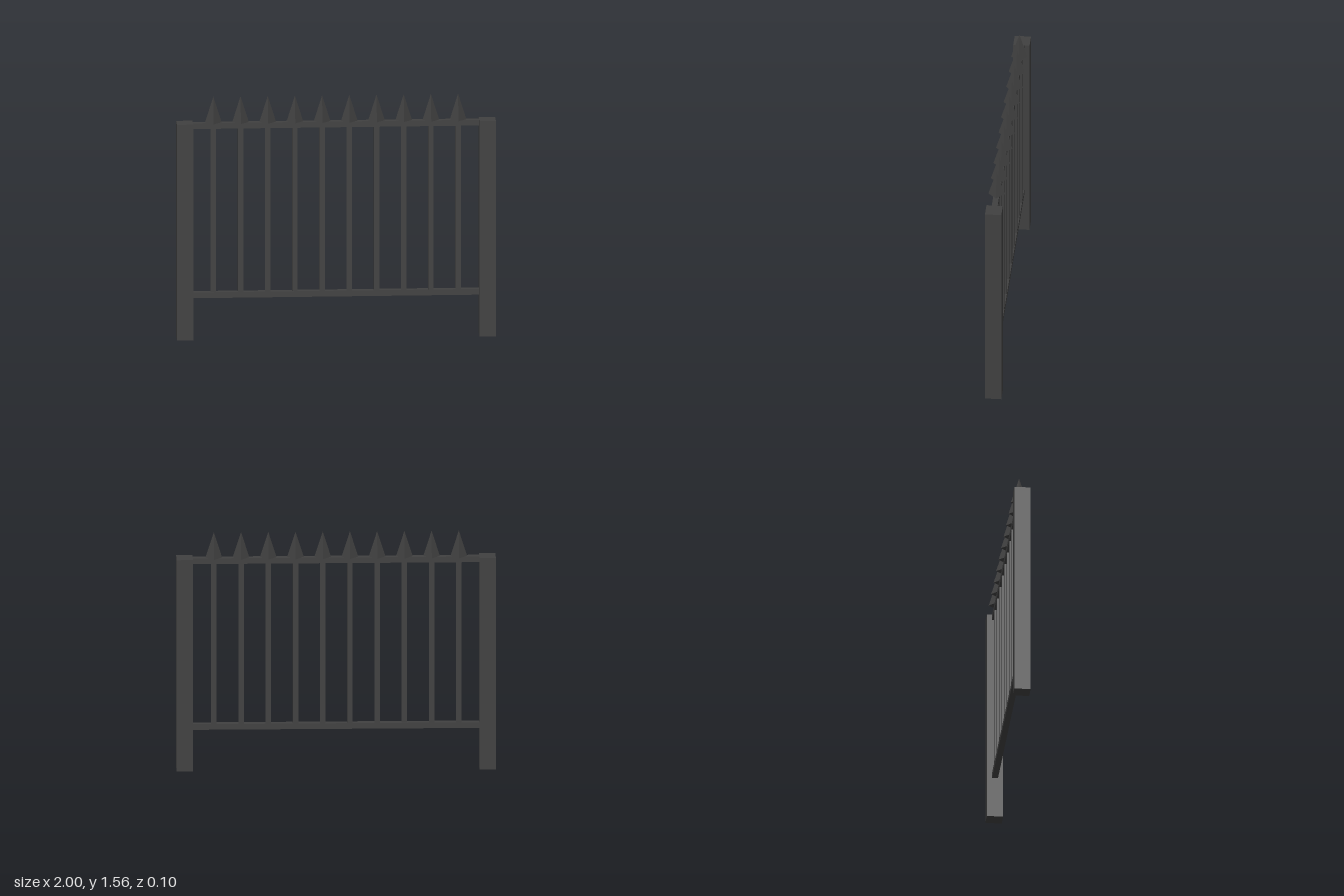
import * as THREE from 'three';

const TOP = 1.393; // top of posts and upper rail
const POST = 0.103;
const RAIL = 0.037;
const BARS = 10;
const SPACING = 0.1705;

export function createModel() {
  const fence = new THREE.Group();
  fence.name = 'fence';
  const iron = new THREE.MeshStandardMaterial({ color: 0x404040, flatShading: true });

  const add = (name, geometry, x, y) => {
    const mesh = new THREE.Mesh(geometry, iron);
    mesh.name = name;
    mesh.position.set(x, y, 0);
    fence.add(mesh);
  };

  // Square end posts
  const post = new THREE.BoxGeometry(POST, TOP, POST);
  add('leftPost', post, 1 - POST / 2, TOP / 2);
  add('rightPost', post, -1 + POST / 2, TOP / 2);

  // Horizontal rails between the posts
  const rail = new THREE.BoxGeometry(2 - 2 * POST, RAIL, RAIL);
  const lowY = 0.282;
  const highY = TOP - RAIL / 2;
  add('lowerRail', rail, 0, lowY);
  add('upperRail', rail, 0, highY);

  // Upright bars, each topped with a four-sided spike set as a diamond
  const bar = new THREE.BoxGeometry(0.034, highY - lowY, 0.034);
  const spikeHeight = 0.167;
  const spike = new THREE.ConeGeometry(0.052, spikeHeight, 4);
  for (let i = 0; i < BARS; i++) {
    const x = (i - (BARS - 1) / 2) * SPACING - 0.002;
    add(`bar${i + 1}`, bar, x, (lowY + highY) / 2);
    add(`spike${i + 1}`, spike, x, TOP + spikeHeight / 2);
  }
  return fence;
}
